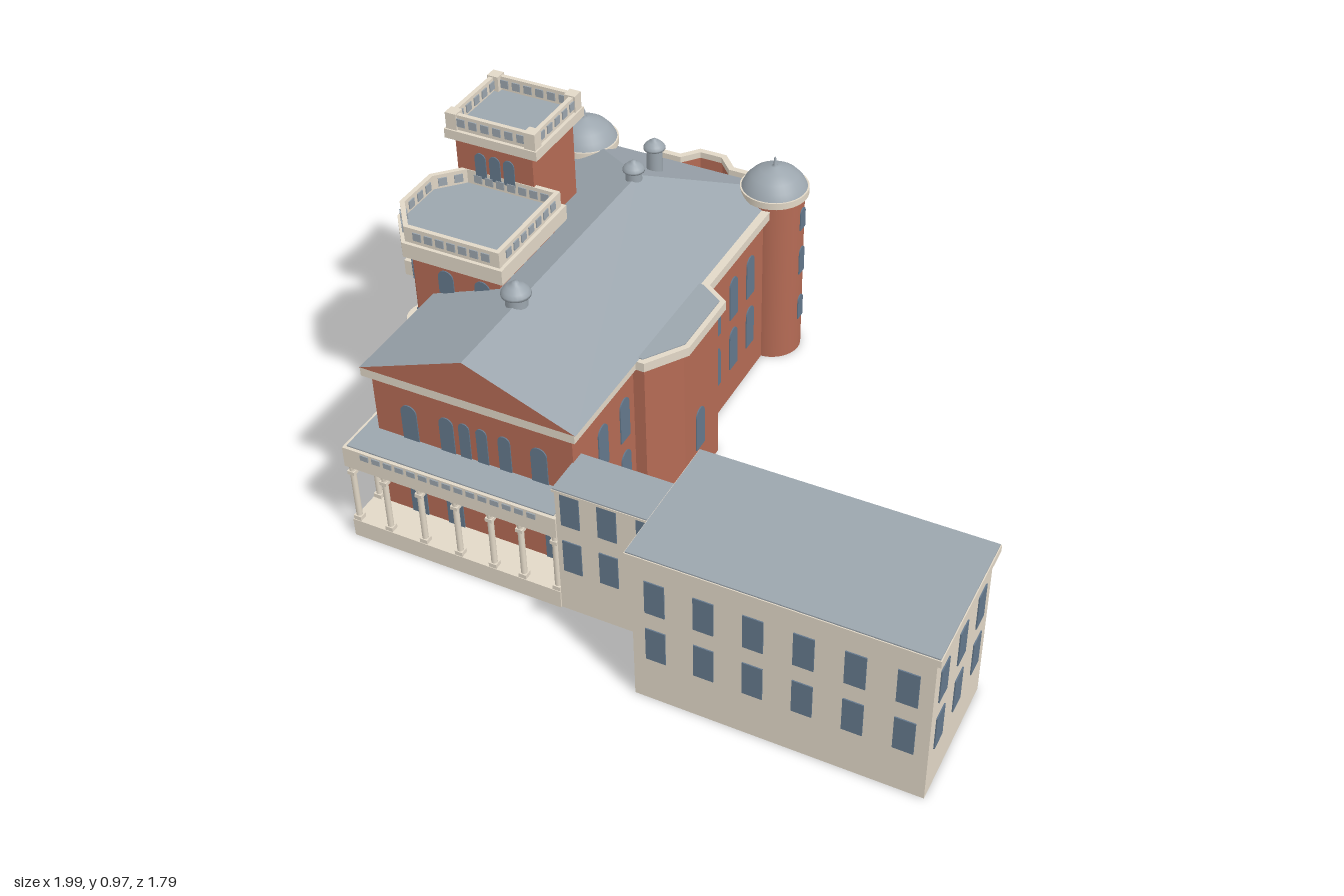
import * as THREE from 'three';

const mat = (name, color, side = THREE.FrontSide) =>
  Object.assign(new THREE.MeshStandardMaterial({ color, side }), { name });

export function createModel() {
  const root = new THREE.Group();
  root.name = 'villa';
  const brick = mat('brick', 0xb56b55, THREE.DoubleSide), stone = mat('stone', 0xe2d8c7, THREE.DoubleSide);
  const slate = mat('slate', 0x9ca6ae), glass = mat('glass', 0x64788c);

  const add = (name, geo, m, parent = root) => {
    const mesh = new THREE.Mesh(geo, m);
    mesh.name = name;
    parent.add(mesh);
    return mesh;
  };
  const group = (name) => {
    const g = new THREE.Group();
    g.name = name;
    root.add(g);
    return g;
  };
  // Footprints are lists of [x, z], running left to right along the front
  const rect = (x0, x1, z0, z1) => [[x0, z1], [x1, z1], [x1, z0], [x0, z0]];
  const normal = (a, b) => {
    const l = Math.hypot(b[0] - a[0], b[1] - a[1]);
    return [(a[1] - b[1]) / l, (b[0] - a[0]) / l];
  };
  const grow = (poly, d) => poly.map((p, i) => {
    const n = normal(poly.at(i - 1), p), m = normal(p, poly[(i + 1) % poly.length]);
    const k = d / (1 + n[0] * m[0] + n[1] * m[1]);
    return [p[0] + (n[0] + m[0]) * k, p[1] + (n[1] + m[1]) * k];
  });
  const outline = (poly) => poly.map(([x, z]) => new THREE.Vector2(x, -z));
  const faces = (list) => {
    const g = new THREE.BufferGeometry();
    g.setAttribute('position', new THREE.Float32BufferAttribute(list.flat(2), 3));
    g.computeVertexNormals();
    return g;
  };
  // Open shell of walls, without floor or ceiling
  const walls = (name, poly, y0, y1, m, parent) => add(name, faces(poly.flatMap(([x, z], i) => {
    const [u, w] = poly[(i + 1) % poly.length];
    return [[[x, y0, z], [u, y0, w], [u, y1, w]], [[x, y0, z], [u, y1, w], [x, y1, z]]];
  })), m, parent);
  // Closed prism over a footprint, optionally a hollow ring
  const prism = (name, poly, y0, y1, m, parent, wall = 0) => {
    const shape = new THREE.Shape(outline(poly));
    if (wall) shape.holes.push(new THREE.Path(outline(grow(poly, -wall))));
    const geo = new THREE.ExtrudeGeometry(shape, { depth: y1 - y0, bevelEnabled: false });
    return add(name, geo.rotateX(-Math.PI / 2).translate(0, y0, 0), m, parent);
  };
  const box = (name, x, y, z, w, h, d, m, parent) =>
    add(name, new THREE.BoxGeometry(w, h, d).translate(x, y + h / 2, z), m, parent);
  const drum = (name, x, y, z, r, h, m, parent, sides = 32, open = false) =>
    add(name, new THREE.CylinderGeometry(r, r, h, sides, 1, open).translate(x, y + h / 2, z), m, parent);
  // Thin pane on the outside of a wall; ry = 0 faces the front
  const pane = (name, x, y, z, w, h, ry, arched, parent, m = glass) => {
    const s = new THREE.Shape(), r = w / 2, top = arched ? h - r : h;
    s.moveTo(-r, 0).lineTo(r, 0).lineTo(r, top);
    if (arched) s.absarc(0, top, r, 0, Math.PI, false);
    else s.lineTo(-r, top);
    const geo = new THREE.ExtrudeGeometry(s, { depth: 0.0035, bevelEnabled: false, curveSegments: 8 });
    const mesh = add(name, geo.translate(0, 0, 0.0005), m, parent);
    mesh.position.set(x, y, z);
    mesh.rotation.y = ry;
    return mesh;
  };
  // Row of small openings along a parapet, also on its inner face when thick is given
  const openings = (poly, y, h, parent, thick = 0) => {
    poly.forEach((a, i) => {
      const b = poly[(i + 1) % poly.length], n = normal(a, b), ry = Math.atan2(n[0], n[1]);
      const len = Math.hypot(b[0] - a[0], b[1] - a[1]), count = Math.floor(len / 0.044);
      for (let k = 0; k < count; k++) {
        const t = (k + 0.5) / count * 0.84 + 0.08;
        const x = a[0] + (b[0] - a[0]) * t, z = a[1] + (b[1] - a[1]) * t;
        pane('parapetOpening', x, y, z, 0.026, h, ry, false, parent, slate);
        if (thick) pane('parapetOpening', x - n[0] * thick, y, z - n[1] * thick, 0.026, h, ry + Math.PI, false, parent, slate);
      }
    });
  };
  const LEFT = -Math.PI / 2, RIGHT = Math.PI / 2, BACK = Math.PI;

  // Main hall with a bay on its left side
  const hall = group('mainHall');
  const hallPlan = [[-0.77, 0.59], [-0.145, 0.59], [-0.145, 0.245], [-0.11, 0.245], [-0.04, 0.14],
    [-0.04, -0.08], [-0.115, -0.13], [-0.115, -0.67], [-0.77, -0.67]];
  walls('hallWalls', hallPlan, 0, 0.535, brick, hall);
  prism('hallCornice', grow(hallPlan, 0.02), 0.53, 0.559, stone, hall);
  prism('bayRoof', [[-0.14, 0.25], [-0.111, 0.25], [-0.036, 0.14], [-0.036, -0.08], [-0.111, -0.131], [-0.14, -0.131]],
    0.555, 0.562, slate, hall);

  // Roof: gable at the front, hip at the back
  const FL = [-0.79, 0.56, 0.612], FR = [-0.12, 0.56, 0.612], BL = [-0.79, 0.56, -0.69], BR = [-0.12, 0.56, -0.69];
  const RF = [-0.455, 0.69, 0.612], RB = [-0.455, 0.69, -0.39];
  add('hallRoof', faces([[FR, BR, RB], [FR, RB, RF], [BL, FL, RF], [BL, RF, RB], [BR, BL, RB],
    [FL, BL, BR], [FL, BR, FR]]), slate, hall);
  add('gable', faces([[FL, FR, RF]]), brick, hall);

  // Hall windows
  for (const y of [0.115, 0.305]) {
    for (const z of [0.43, 0.305]) pane('sideWindow', -0.145, y, z, 0.053, 0.145, RIGHT, true, hall);
    for (const z of [-0.22, -0.34, -0.46]) pane('sideWindow', -0.115, y, z, 0.053, 0.145, RIGHT, true, hall);
    for (const z of [0.43, -0.44]) pane('sideWindow', -0.77, y, z, 0.053, 0.145, LEFT, true, hall);
  }
  pane('bayWindow', -0.04, 0.115, 0.045, 0.053, 0.145, RIGHT, true, hall);
  for (const [x, w] of [[-0.66, 0.05], [-0.54, 0.045], [-0.483, 0.034], [-0.428, 0.034], [-0.357, 0.038], [-0.25, 0.05]])
    pane('facadeWindow', x, 0.315, 0.59, w, 0.14, 0, true, hall);
  for (const x of [-0.66, -0.54, -0.22]) pane('porchWindow', x, 0.06, 0.59, 0.053, 0.195, 0, true, hall);

  // Ventilators on the ridge
  for (const [z, y, r, h] of [[0.315, 0.67, 0.032, 0.045], [-0.375, 0.67, 0.025, 0.045], [-0.51, 0.62, 0.025, 0.095]]) {
    const g = group('ventilator'), k = r / 0.032;
    drum('ventilatorDrum', -0.46, y, z, r, h, slate, g, 20);
    const cap = [[0, 0], [0.043, 0], [0.043, 0.008], [0.036, 0.018], [0.024, 0.029], [0.011, 0.035], [0.009, 0.041], [0, 0.043]];
    add('ventilatorCap', new THREE.LatheGeometry(cap.map(([a, b]) => new THREE.Vector2(a * k, b * k)), 20)
      .translate(-0.46, y + h, z), slate, g);
  }

  // Round turrets at the back corners
  for (const [x, side] of [[-0.78, LEFT], [-0.12, RIGHT]]) {
    const g = group('turret'), z = -0.648, r = 0.094;
    drum('turretWall', x, 0, z, r, 0.578, brick, g, 40, true);
    drum('turretCornice', x, 0.575, z, 0.107, 0.022, stone, g, 40);
    const dome = [[0.102, 0.597], [0.092, 0.617], [0.073, 0.638], [0.045, 0.656], [0.012, 0.666], [0.005, 0.67],
      [0.004, 0.69], [0, 0.7]].map((p) => new THREE.Vector2(...p));
    add('turretDome', new THREE.LatheGeometry(dome, 40).translate(x, 0, z), slate, g);
    for (const a of [side, BACK]) for (const [y, h] of [[0.125, 0.085], [0.3, 0.095], [0.465, 0.075]])
      pane('turretWindow', x + Math.sin(a) * r, y, z + Math.cos(a) * r, 0.036, h, a, true, g);
  }

  // Open-topped rear apse
  const apse = group('rearApse');
  const apsePlan = [[-0.605, -0.66], [-0.28, -0.66], [-0.28, -0.825], [-0.355, -0.825], [-0.407, -0.88],
    [-0.486, -0.88], [-0.532, -0.825], [-0.605, -0.825]];
  walls('apseWalls', apsePlan, 0, 0.468, brick, apse);
  prism('apseCornice', grow(apsePlan, 0.016), 0.465, 0.486, stone, apse, 0.02);
  for (const y of [0.12, 0.3]) {
    pane('apseWindow', -0.446, y, -0.88, 0.04, 0.12, BACK, true, apse);
    for (const x of [-0.568, -0.318]) pane('apseWindow', x, y, -0.825, 0.036, 0.12, BACK, true, apse);
  }

  // Tower crown: cornice, parapet with openings and a flat roof
  const crown = (plan, y0, y1, y2, g) => {
    prism('towerCornice', plan, y0, y1, stone, g);
    const p = grow(plan, -0.011);
    prism('towerParapet', p, y1, y2, stone, g, 0.014);
    prism('towerRoof', grow(p, -0.014), y1 - 0.01, y1 + 0.004, slate, g);
    openings(p, y1 + 0.013, 0.026, g, 0.014);
  };

  // Tall square tower with an arched doorway
  const tall = group('squareTower');
  walls('towerWalls', rect(-0.88, -0.625, -0.313, -0.077), 0, 0.89, brick, tall);
  const tallPlan = rect(-0.905, -0.6, -0.34, -0.06);
  crown(tallPlan, 0.885, 0.915, 0.964, tall);
  for (const [x, z] of grow(tallPlan, -0.023)) box('parapetPost', x, 0.915, z, 0.036, 0.053, 0.036, stone, tall);
  for (const x of [-0.8, -0.752, -0.705]) {
    pane('towerWindow', x, 0.765, -0.077, 0.036, 0.085, 0, true, tall);
    pane('towerWindow', x, 0.765, -0.313, 0.036, 0.085, BACK, true, tall);
  }
  pane('doorSurround', -0.88, 0.02, -0.215, 0.12, 0.23, LEFT, true, tall, stone);
  pane('door', -0.8835, 0.03, -0.215, 0.068, 0.175, LEFT, true, tall);

  // Lower tower with cut corners
  const low = group('cutCornerTower');
  const lowPlan = [[-0.86, 0.265], [-0.535, 0.265], [-0.535, -0.1], [-0.86, -0.1], [-0.945, -0.01], [-0.945, 0.155]];
  const lowWall = grow(lowPlan, -0.027);
  walls('towerWalls', lowWall, 0, 0.69, brick, low);
  crown(lowPlan, 0.685, 0.733, 0.783, low);
  for (const x of [-0.74, -0.62]) pane('towerWindow', x, 0.575, 0.238, 0.05, 0.08, 0, true, low);
  const [a, b] = [lowWall[5], lowWall[0]], n = normal(a, b);
  for (const [y, h] of [[0.12, 0.13], [0.315, 0.13], [0.575, 0.08]])
    pane('towerWindow', (a[0] + b[0]) / 2, y, (a[1] + b[1]) / 2, 0.055, h, Math.atan2(n[0], n[1]), true, low);
  pane('towerWindow', -0.918, 0.565, 0.075, 0.05, 0.09, LEFT, true, low);
  box('balcony', -0.932, 0.515, 0.075, 0.04, 0.05, 0.13, stone, low);

  // Half-round glazed bay against the lower tower
  const bow = group('bowBay');
  const bowArc = new THREE.CylinderGeometry(0.07, 0.07, 0.29, 24, 1, true, Math.PI, Math.PI);
  add('bowWall', bowArc.translate(-0.915, 0.145, 0.08), stone, bow);
  drum('bowCornice', -0.915, 0.285, 0.08, 0.08, 0.045, stone, bow, 32);
  for (let i = 0; i < 7; i++) {
    const t = -Math.PI / 2 + (i - 3) * 0.46;
    pane('bowWindow', -0.915 + Math.sin(t) * 0.07, 0.11, 0.08 + Math.cos(t) * 0.07, 0.023, 0.165, t, false, bow);
  }

  // Arcaded porch around the front and right-hand corner
  const porch = group('porch');
  const porchPlan = [[-0.82, 0.26], [-0.82, 0.7], [-0.145, 0.7], [-0.145, 0.58], [-0.76, 0.58], [-0.76, 0.26]];
  walls('porchBase', porchPlan, 0, 0.055, stone, porch);
  prism('porchFloor', porchPlan, 0.052, 0.06, stone, porch);
  prism('porchParapet', porchPlan, 0.262, 0.33, stone, porch);
  prism('porchRoof', grow(porchPlan, -0.01), 0.328, 0.334, slate, porch);
  openings(porchPlan.slice(0, 3), 0.308, 0.018, porch);
  const column = (x, z) => {
    drum('column', x, 0.06, z, 0.009, 0.204, stone, porch, 12);
    box('columnBase', x, 0.06, z, 0.024, 0.014, 0.024, stone, porch);
    box('columnCap', x, 0.23, z, 0.022, 0.012, 0.022, stone, porch);
  };
  const arch = (x, z, w, ry) => {
    const s = new THREE.Shape();
    s.moveTo(0, 0).quadraticCurveTo(0.009, 0.02, 0.036, 0.022).lineTo(w - 0.036, 0.022);
    s.quadraticCurveTo(w - 0.009, 0.02, w, 0).lineTo(w, 0.026).lineTo(0, 0.026);
    const m = add('archHead', new THREE.ExtrudeGeometry(s, { depth: 0.014, bevelEnabled: false })
      .translate(0, 0, -0.007), stone, porch);
    m.position.set(x, 0.239, z);
    m.rotation.y = ry;
  };
  const xs = [-0.806, -0.7, -0.585, -0.47, -0.36, -0.265, -0.158];
  xs.forEach((x, i) => { column(x, 0.686); if (i) arch(xs[i - 1], 0.686, x - xs[i - 1], 0); });
  const zs = [0.275, 0.375, 0.48, 0.585, 0.686];
  zs.forEach((z, i) => { if (i < 4) column(-0.806, z); if (i) arch(-0.806, zs[i - 1], z - zs[i - 1], LEFT); });

  // Link and side wing
  const wing = group('sideWing');
  walls('linkWalls', rect(-0.145, 0.18, 0.55, 0.695), 0, 0.432, stone, wing);
  prism('linkCornice', rect(-0.15, 0.18, 0.545, 0.702), 0.43, 0.438, stone, wing);
  prism('linkRoof', rect(-0.148, 0.18, 0.547, 0.7), 0.436, 0.442, slate, wing);
  walls('wingWalls', rect(0.18, 0.985, 0.485, 0.883), 0, 0.495, stone, wing);
  prism('wingCornice', rect(0.168, 0.998, 0.468, 0.896), 0.49, 0.512, stone, wing);
  prism('wingRoof', rect(0.171, 0.995, 0.471, 0.893), 0.51, 0.516, slate, wing);
  for (const y of [0.15, 0.317]) {
    for (const x of [-0.1, 0.01, 0.125]) pane('linkWindow', x, y, 0.695, 0.056, 0.11, 0, false, wing);
    for (let i = 0; i < 6; i++) {
      pane('wingWindow', 0.245 + i * 0.135, y, 0.883, 0.056, 0.11, 0, false, wing);
      pane('wingWindow', 0.245 + i * 0.135, y, 0.485, 0.056, 0.11, BACK, false, wing);
    }
    for (const z of [0.82, 0.69, 0.555]) pane('wingWindow', 0.985, y, z, 0.056, 0.11, RIGHT, false, wing);
  }
  return root;
}
